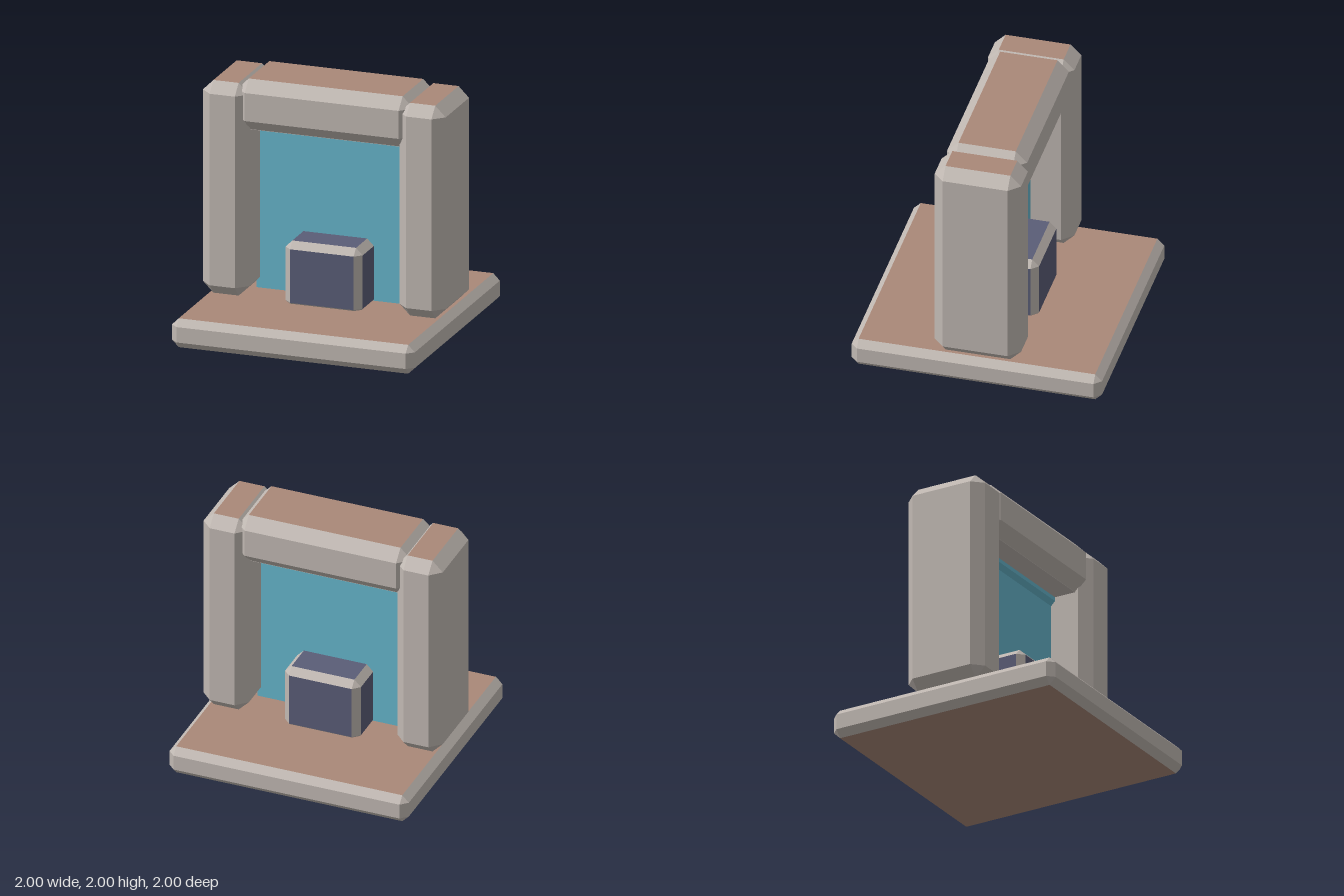
import * as THREE from 'three';

const makeMaterial = (name, color) => {
  const m = new THREE.MeshStandardMaterial({ color });
  m.name = name;
  return m;
};

// Box with flat chamfers on every edge. Group 0: chamfers, groups 1-3: faces along x, y, z.
function chamferBoxGeometry(w, h, d, c) {
  const half = [w / 2, h / 2, d / 2];
  const positions = [];
  const geometry = new THREE.BufferGeometry();

  // Corner of the face that looks along the given axis
  const point = (axis, s) =>
    new THREE.Vector3(...half.map((v, i) => s[i] * (i === axis ? v : v - c)));

  // Adds a convex polygon, turned to look away from the centre
  const polygon = (pts, material) => {
    const start = positions.length / 3;
    const normal = pts[1].clone().sub(pts[0]).cross(pts[2].clone().sub(pts[0]));
    if (normal.dot(pts[0]) < 0) pts.reverse();
    for (let i = 1; i < pts.length - 1; i++) {
      for (const p of [pts[0], pts[i], pts[i + 1]]) positions.push(p.x, p.y, p.z);
    }
    geometry.addGroup(start, positions.length / 3 - start, material);
  };
  const signs = (a, sa, b, sb, e, se) => {
    const s = [0, 0, 0];
    s[a] = sa; s[b] = sb; s[e] = se;
    return s;
  };

  for (let a = 0; a < 3; a++) {
    const b = (a + 1) % 3, e = (a + 2) % 3;
    for (const sa of [-1, 1]) {
      // Main face
      polygon([[-1, -1], [1, -1], [1, 1], [-1, 1]]
        .map(([sb, se]) => point(a, signs(a, sa, b, sb, e, se))), a + 1);
      // Edge chamfers between axes a and b
      for (const sb of [-1, 1]) {
        const lo = signs(a, sa, b, sb, e, -1), hi = signs(a, sa, b, sb, e, 1);
        polygon([point(a, lo), point(a, hi), point(b, hi), point(b, lo)], 0);
      }
    }
  }
  // Corner triangles
  for (const x of [-1, 1]) for (const y of [-1, 1]) for (const z of [-1, 1]) {
    polygon([0, 1, 2].map((axis) => point(axis, [x, y, z])), 0);
  }
  geometry.setAttribute('position', new THREE.Float32BufferAttribute(positions, 3));
  geometry.computeVertexNormals();
  return geometry;
}

export function createModel() {
  const model = new THREE.Group();
  model.name = 'stoneGateway';

  const stone = makeMaterial('stone', 0xc0b8b2);
  const clay = makeMaterial('clay', 0xaa8878);
  const water = makeMaterial('teal', 0x66b6cc);
  const slate = makeMaterial('slate', 0x5a5d77);

  // Chamfered block spanning y0 to y1
  const block = (name, x, y0, y1, w, d, c, materials) => {
    const mesh = new THREE.Mesh(chamferBoxGeometry(w, y1 - y0, d, c), materials);
    mesh.name = name;
    mesh.position.set(x, (y0 + y1) / 2, 0);
    model.add(mesh);
  };
  const capped = [stone, stone, clay, stone];

  block('base', 0, 0, 0.235, 2, 2, 0.055, capped);

  // Pillars
  for (const [name, side] of [['leftPillar', 1], ['rightPillar', -1]]) {
    block(name, side * 0.81, 0.235, 1.965, 0.38, 0.69, 0.086, capped);
  }

  // Lintel: clay on top, stone underneath
  block('lintel', 0, 1.59, 2, 1.45, 0.64, 0.091, capped);
  const soffit = new THREE.Mesh(new THREE.BoxGeometry(1.268, 0.004, 0.458), stone);
  soffit.name = 'lintelUnderside';
  soffit.position.y = 1.589;
  model.add(soffit);

  // Step block in the opening, slate faces framed by stone edges
  block('stepBlock', 0, 0.19, 0.735, 0.635, 0.635, 0.055, [stone, slate, slate, slate]);

  // Thin wall in the opening, with a chamfered rail along its top
  const wall = new THREE.Mesh(new THREE.BoxGeometry(1.3, 1.45, 0.03), water);
  wall.name = 'backWall';
  wall.position.y = 0.925;
  model.add(wall);
  block('wallRail', 0, 1.52, 1.7, 1.36, 0.1, 0.035, [water, water, water, water]);

  return model;
}
